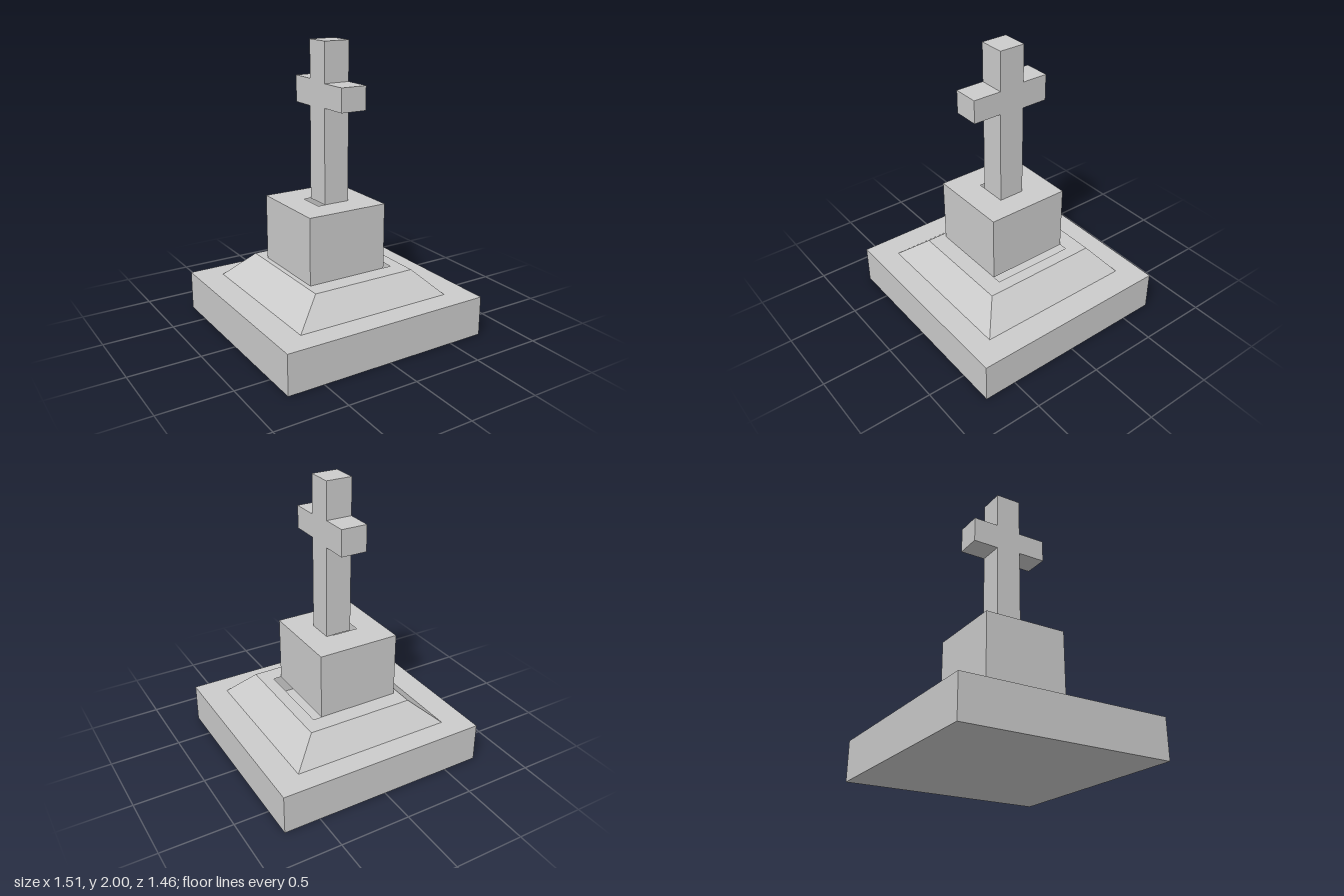
import * as THREE from 'three';

const material = new THREE.MeshStandardMaterial({ color: 0xcccccc, flatShading: true, side: THREE.DoubleSide });

// Rectangles are [x0, x1, z0, z1]; corners run counter-clockwise from above.
const corners = ([x0, x1, z0, z1]) => [[x0, z1], [x1, z1], [x1, z0], [x0, z0]];

// Four walls joining a lower rectangle to an upper one
function walls(low, yLow, high, yHigh) {
  const a = corners(low), b = corners(high), points = [];
  for (let i = 0; i < 4; i++) {
    const j = (i + 1) % 4;
    const at = (c, y) => new THREE.Vector3(c[0], y, c[1]);
    const [p, q, r, s] = [at(a[i], yLow), at(a[j], yLow), at(b[j], yHigh), at(b[i], yHigh)];
    points.push(p, q, r, p, r, s);
  }
  const geometry = new THREE.BufferGeometry().setFromPoints(points);
  geometry.computeVertexNormals();
  return geometry;
}

// Horizontal sheet at height y with an optional rectangular opening
function sheet(rect, y, opening) {
  const flat = (r) => corners(r).map(([x, z]) => new THREE.Vector2(x, -z));
  const shape = new THREE.Shape(flat(rect));
  if (opening) shape.holes.push(new THREE.Path(flat(opening).reverse()));
  return new THREE.ShapeGeometry(shape).rotateX(-Math.PI / 2).translate(0, y, 0);
}

export function createModel() {
  const model = new THREE.Group();
  model.name = 'monument';
  const add = (name, geometry) => {
    const mesh = new THREE.Mesh(geometry, material);
    mesh.name = name;
    model.add(mesh);
  };

  const plinth = [-0.755, 0.755, -0.73, 0.73];
  const slopeBase = [-0.57, 0.57, -0.575, 0.565];
  const slopeTop = [-0.37, 0.395, -0.433, 0.412];
  const blockSocket = [-0.335, 0.31, -0.31, 0.287];
  const block = [-0.335, 0.25, -0.31, 0.287];
  const crossSocket = [-0.155, 0.03, -0.093, 0.095];

  // Hollow base slab
  add('plinthWalls', walls(plinth, 0, plinth, 0.28));
  add('plinthTop', sheet(plinth, 0.28, slopeBase));
  add('plinthBottom', sheet(plinth, 0).rotateZ(Math.PI));

  // Sloped step, its socket slightly wider than the block
  add('slopedStep', walls(slopeBase, 0.28, slopeTop, 0.45));
  add('stepTop', sheet(slopeTop, 0.45, blockSocket));

  // Block with an offset socket under the cross
  add('blockWalls', walls(block, 0.45, block, 0.915));
  add('blockTop', sheet(block, 0.915, crossSocket));

  // Cross outline in (z, y), extruded along x
  const outline = [
    [-0.088, 0.915], [0.096, 0.915], [0.096, 1.57], [0.298, 1.57], [0.298, 1.73], [0.096, 1.73],
    [0.096, 2], [-0.088, 2], [-0.088, 1.743], [-0.273, 1.743], [-0.273, 1.56], [-0.088, 1.56],
  ];
  const shape = new THREE.Shape(outline.map(([z, y]) => new THREE.Vector2(-z, y)));
  const cross = new THREE.ExtrudeGeometry(shape, { depth: 0.185, bevelEnabled: false });
  add('cross', cross.rotateY(Math.PI / 2).translate(-0.105, 0, 0));

  return model;
}
